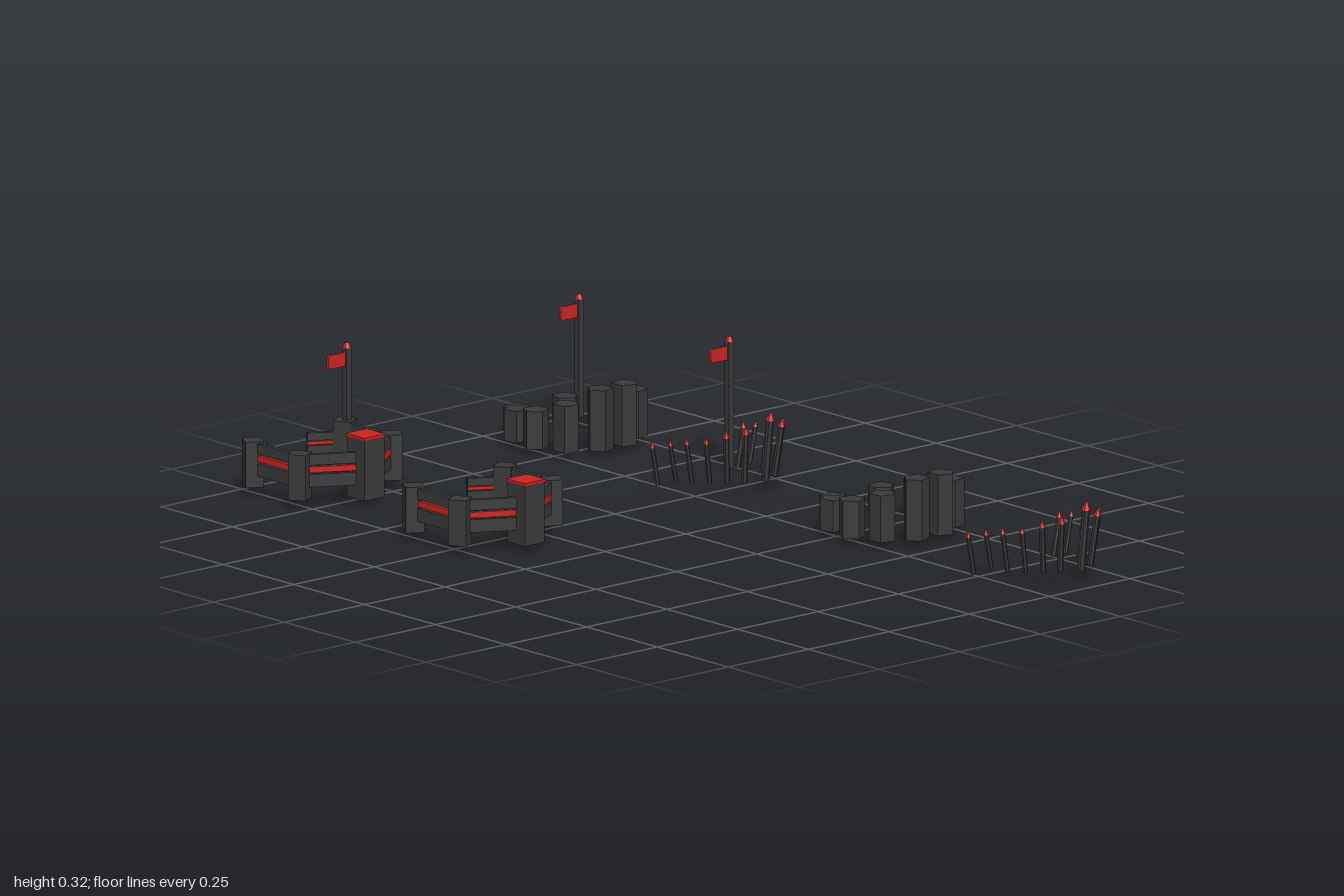
import * as THREE from 'three';

const dark = new THREE.MeshStandardMaterial({ color: 0x3a3a3a, flatShading: true });
const red = new THREE.MeshStandardMaterial({ color: 0xcc2424, flatShading: true });

function add(parent, name, geometry, material, x = 0, y = 0, z = 0, turn = 0) {
  const mesh = new THREE.Mesh(geometry, material);
  mesh.name = name;
  mesh.position.set(x, y, z);
  mesh.rotation.y = turn;
  parent.add(mesh);
  return mesh;
}

function group(name, x, z) {
  const g = new THREE.Group();
  g.name = name;
  g.position.set(x, 0, z);
  return g;
}

// Box standing between heights y0 and y1
function block(parent, name, material, w, d, y0, y1, x, z, turn = 0) {
  return add(parent, name, new THREE.BoxGeometry(w, y1 - y0, d), material, x, (y0 + y1) / 2, z, turn);
}

// Horizontal rail from a to b (both [x, z])
function rail(parent, name, material, a, b, y0, y1, thick) {
  const dx = b[0] - a[0], dz = b[1] - a[1];
  block(parent, name, material, Math.hypot(dx, dz), thick, y0, y1,
    (a[0] + b[0]) / 2, (a[1] + b[1]) / 2, Math.atan2(-dz, dx));
}

// Pole with a red cap and a banner with rounded free corners
function flagPole(x, z, y0) {
  const g = group('flagPole', x, z);
  block(g, 'pole', dark, 0.016, 0.016, y0, 0.305, 0, 0);
  add(g, 'poleCap', new THREE.CylinderGeometry(0.006, 0.011, 0.013, 6), red, 0, 0.311, 0);
  const s = new THREE.Shape();
  const r = 0.008, l = -0.06, b = 0.262, t = 0.295;
  s.moveTo(0, b);
  s.lineTo(0, t);
  s.lineTo(l + r, t);
  s.quadraticCurveTo(l, t, l, t - r);
  s.lineTo(l, b + r);
  s.quadraticCurveTo(l, b, l + r, b);
  const geo = new THREE.ExtrudeGeometry(s, { depth: 0.007, bevelEnabled: false, curveSegments: 3 });
  add(g, 'flag', geo, red, 0, 0, -0.0035);
  return g;
}

// Hexagonal wall ring with a tower in front and an opening at the back
function wallRing(x, z) {
  const g = group('wallRing', x, z);
  const R = 0.165;
  const at = (deg) => [R * Math.sin(deg * Math.PI / 180), R * Math.cos(deg * Math.PI / 180)];
  const wall = (a, b, [y0, y1, y2, y3, y4, y5]) => {
    rail(g, 'lowerPlank', dark, a, b, y0, y1, 0.012);
    rail(g, 'redRail', red, a, b, y2, y3, 0.011);
    rail(g, 'upperPlank', dark, a, b, y4, y5, 0.012);
  };
  const full = [0.048, 0.079, 0.083, 0.097, 0.101, 0.127];
  const low = [0.05, 0.073, 0.075, 0.083, 0.085, 0.104];

  block(g, 'tower', dark, 0.062, 0.062, 0.015, 0.162, 0, 0.153);
  block(g, 'towerCap', red, 0.066, 0.066, 0.161, 0.167, 0, 0.153);

  for (const side of [1, -1]) {
    const front = at(60 * side), rear = at(120 * side), back = at(180);
    for (const [p, deg] of [[front, 60], [rear, 120]]) {
      block(g, 'cornerPost', dark, 0.044, 0.044, 0.021, 0.131, p[0], p[1], deg * side * Math.PI / 180);
    }
    wall(at(0), front, full);
    wall(front, rear, full);
    const end = [rear[0] * 0.45 + back[0] * 0.55, rear[1] * 0.45 + back[1] * 0.55];
    wall(rear, end, low);
  }
  return g;
}

// Ring of five-sided pillars, getting lower towards the back gap
function pillarRing(x, z) {
  const g = group('pillarRing', x, z);
  const y0 = 0.015;
  [0.162, 0.128, 0.106, 0.091, 0.076].forEach((top, i) => {
    for (const side of [1, -1]) {
      const a = side * (i + 0.5) * Math.PI * 2 / 11;
      add(g, 'pillar', new THREE.CylinderGeometry(0.032, 0.032, top - y0, 5), dark,
        0.14 * Math.sin(a), (top + y0) / 2, 0.14 * Math.cos(a), a);
    }
  });
  return g;
}

// Arc of stakes leaning outwards: [x, z, bottom, top, outward angle] at the tip
const STAKES = [
  [0, 0.989, 0.036, 0.211, 0], [0.057, 0.965, 0.036, 0.178, 30], [0.09, 0.932, 0.034, 0.167, 50],
  [0.119, 0.893, 0.032, 0.148, 70], [0.13, 0.836, 0.024, 0.137, 85], [0.135, 0.783, 0.021, 0.123, 90],
  [0.144, 0.73, 0.001, 0.11, 90],
];

function stakeArc(x, z) {
  const g = group('stakeArc', x, z);
  const up = new THREE.Vector3(0, 1, 0);
  for (const [sx, sz, bottom, top, deg] of STAKES) {
    for (const side of sx ? [1, -1] : [1]) {
      const a = side * deg * Math.PI / 180;
      const tip = new THREE.Vector3(side * sx, top, sz);
      const foot = new THREE.Vector3(side * sx - 0.02 * Math.sin(a), bottom, sz - 0.02 * Math.cos(a));
      const dir = tip.clone().sub(foot);
      const len = dir.length(), k = len / 0.175, head = 0.026 * k;
      const stake = new THREE.Group();
      stake.name = 'stake';
      stake.position.copy(foot);
      stake.quaternion.setFromUnitVectors(up, dir.normalize());
      add(stake, 'shaft', new THREE.CylinderGeometry(0.009 * k, 0.009 * k, len - head, 6), dark, 0, (len - head) / 2, 0);
      add(stake, 'point', new THREE.ConeGeometry(0.0115 * k, head, 6), red, 0, len - head / 2, 0);
      g.add(stake);
    }
  }
  return g;
}

export function createModel() {
  const model = new THREE.Group();
  model.name = 'fortifications';
  model.add(
    // Plain sets
    wallRing(-0.368, -0.3), pillarRing(0.376, 0.296), stakeArc(0.376, 0),
    // Sets with flags
    wallRing(-0.368, -0.866), pillarRing(0.376, -0.82), stakeArc(0.376, -1.115),
    flagPole(-0.222, -0.945, 0.02), flagPole(0.486, -0.928, 0.02), flagPole(0.486, -0.398, 0),
  );
  return model;
}
